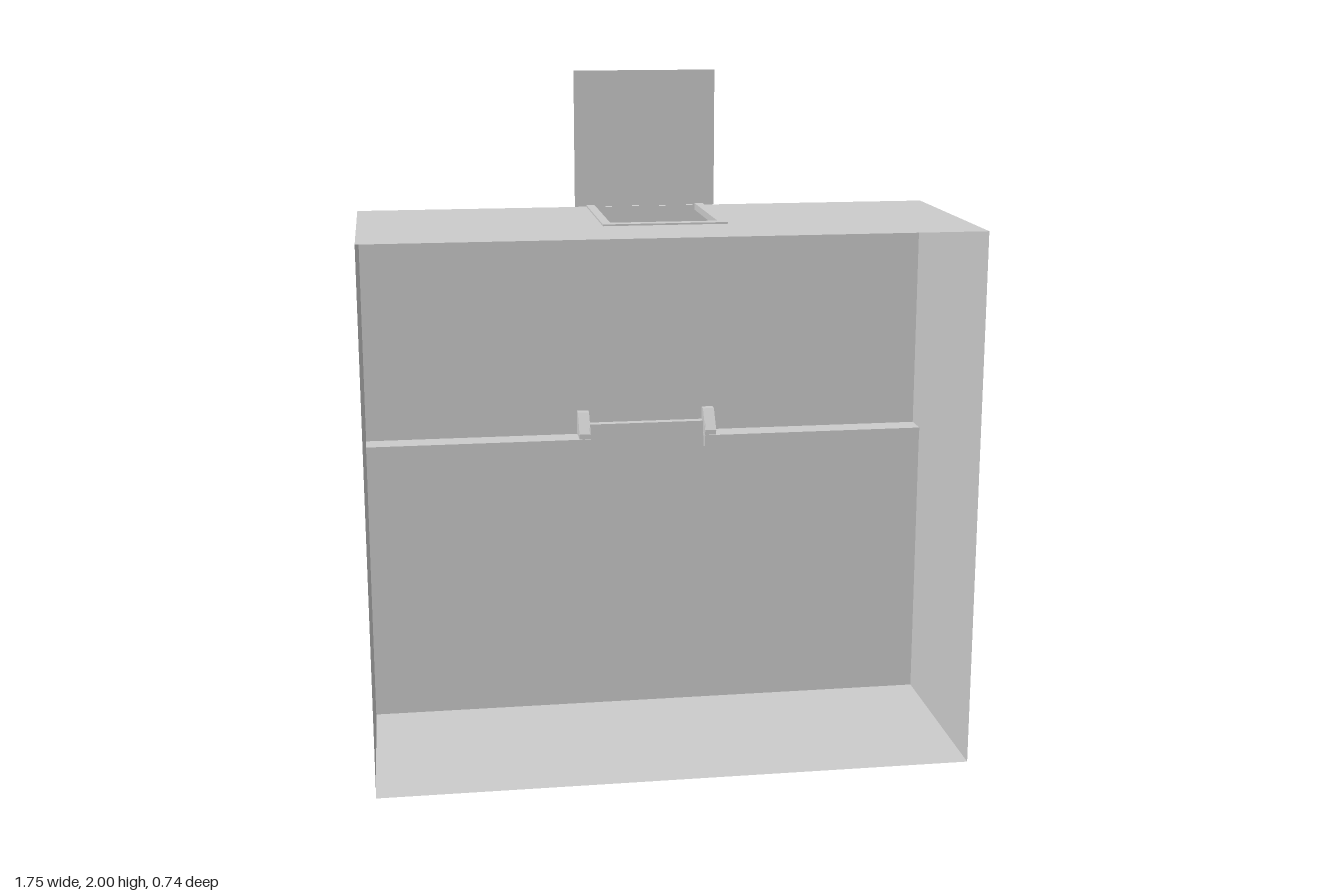
import * as THREE from 'three';

const W = 0.872, TOP = 1.59, FRONT = 0.37, BACK = -0.322, INNER = -0.248, SEAM = 0.875;

export function createModel() {
  const model = new THREE.Group();
  const mat = new THREE.MeshStandardMaterial({ color: 0xcccccc, side: THREE.DoubleSide, flatShading: true });

  const add = (name, geo, parent = model) => {
    const m = new THREE.Mesh(geo, mat);
    m.name = name;
    parent.add(m);
    return m;
  };
  const outline = (pts) => new THREE.Shape(pts.map(([x, y]) => new THREE.Vector2(x, y)));
  // Upright sheet across x, at depth z
  const upright = (name, pts, z, parent) =>
    add(name, new THREE.ShapeGeometry(outline(pts)).translate(0, 0, z), parent);
  // Level sheet, outline given in x and z, at height y
  const level = (name, pts, y, parent) =>
    add(name, new THREE.ShapeGeometry(outline(pts.map(([x, z]) => [x, -z])))
      .rotateX(-Math.PI / 2).translate(0, y, 0), parent);
  // Upright sheet along z, at position x
  const side = (name, x, y0, y1, z0, z1, parent) =>
    add(name, new THREE.PlaneGeometry(z1 - z0, y1 - y0).rotateY(x < 0 ? -Math.PI / 2 : Math.PI / 2)
      .translate(x, (y0 + y1) / 2, (z0 + z1) / 2), parent);
  const rect = (x, a, b) => [[-x, a], [x, a], [x, b], [-x, b]];

  // Open-fronted case of thin sheet
  level('floor', rect(W, FRONT, BACK), 0);
  for (const s of [-1, 1]) side(s > 0 ? 'leftWall' : 'rightWall', s * W, 0, TOP, BACK, FRONT);

  // Roof with a slot reaching the back edge
  level('roof', [[-W, FRONT], [W, FRONT], [W, BACK], [0.155, BACK], [0.155, 0.08],
    [-0.155, 0.08], [-0.155, BACK], [-W, BACK]], TOP);

  // Upper back panel, notched for the pocket
  upright('upperBackPanel', [[-W, SEAM], [-0.18, SEAM], [-0.18, 0.91], [0.18, 0.91], [0.18, SEAM],
    [W, SEAM], [W, TOP], [-W, TOP]], BACK);

  // Recessed lower back panel
  upright('lowerBackPanel', [[-W, 0], [W, 0], [W, SEAM], [0.18, SEAM], [0.18, 0.84],
    [-0.18, 0.84], [-0.18, SEAM], [-W, SEAM]], INNER);

  // Ledge joining the two panels, with a folded lip
  const ledge = new THREE.Group();
  ledge.name = 'ledge';
  model.add(ledge);
  const E = 0.877;
  for (const s of [-1, 1]) {
    level('ledgeTop', [[s * 0.18, BACK], [s * E, BACK], [s * E, -0.245], [s * 0.18, -0.245]], SEAM, ledge);
    upright('ledgeLip', [[s * 0.18, 0.835], [s * E, 0.835], [s * E, SEAM], [s * 0.18, SEAM]], -0.245, ledge);
  }

  // Raised rim around the roof slot
  const rim = outline([[-0.18, -0.115], [0.18, -0.115], [0.18, 0.322], [0.155, 0.322], [0.155, -0.08],
    [-0.155, -0.08], [-0.155, 0.322], [-0.18, 0.322]]);
  add('slotRim', new THREE.ExtrudeGeometry(rim, { depth: 0.02, bevelEnabled: false })
    .rotateX(-Math.PI / 2).translate(0, 1.575, 0));

  // Upright flap behind the roof slot
  upright('flap', rect(0.215, TOP, 2), -0.325);

  // Pocket handle, open to the back
  const pocket = new THREE.Group();
  pocket.name = 'pocketHandle';
  model.add(pocket);
  const P = 0.183, PB = -0.37, PF = -0.295;
  level('pocketTop', rect(P, PF, PB), 0.91, pocket);
  level('pocketBottom', rect(P, INNER, PB), 0.805, pocket);
  upright('pocketWall', rect(P, 0.805, 0.91), PF, pocket);
  for (const s of [-1, 1]) side('pocketSide', s * P, 0.805, 0.91, PB, INNER, pocket);

  // Wedge ears beside the pocket, and small clips under the flap
  const ear = outline([[-0.332, 0.855], [-0.25, 0.87], [-0.25, 0.89], [-0.295, 0.95], [-0.332, 0.95]]);
  for (const s of [-1, 1]) {
    const geo = new THREE.ExtrudeGeometry(ear, { depth: 0.035, bevelEnabled: false });
    geo.rotateY(-Math.PI / 2).translate(s * 0.198 + 0.0175, 0, 0);
    add('pocketEar', geo);
    add('flapClip', new THREE.BoxGeometry(0.035, 0.012, 0.012).translate(s * 0.195, 1.584, -0.328));
  }

  return model;
}
